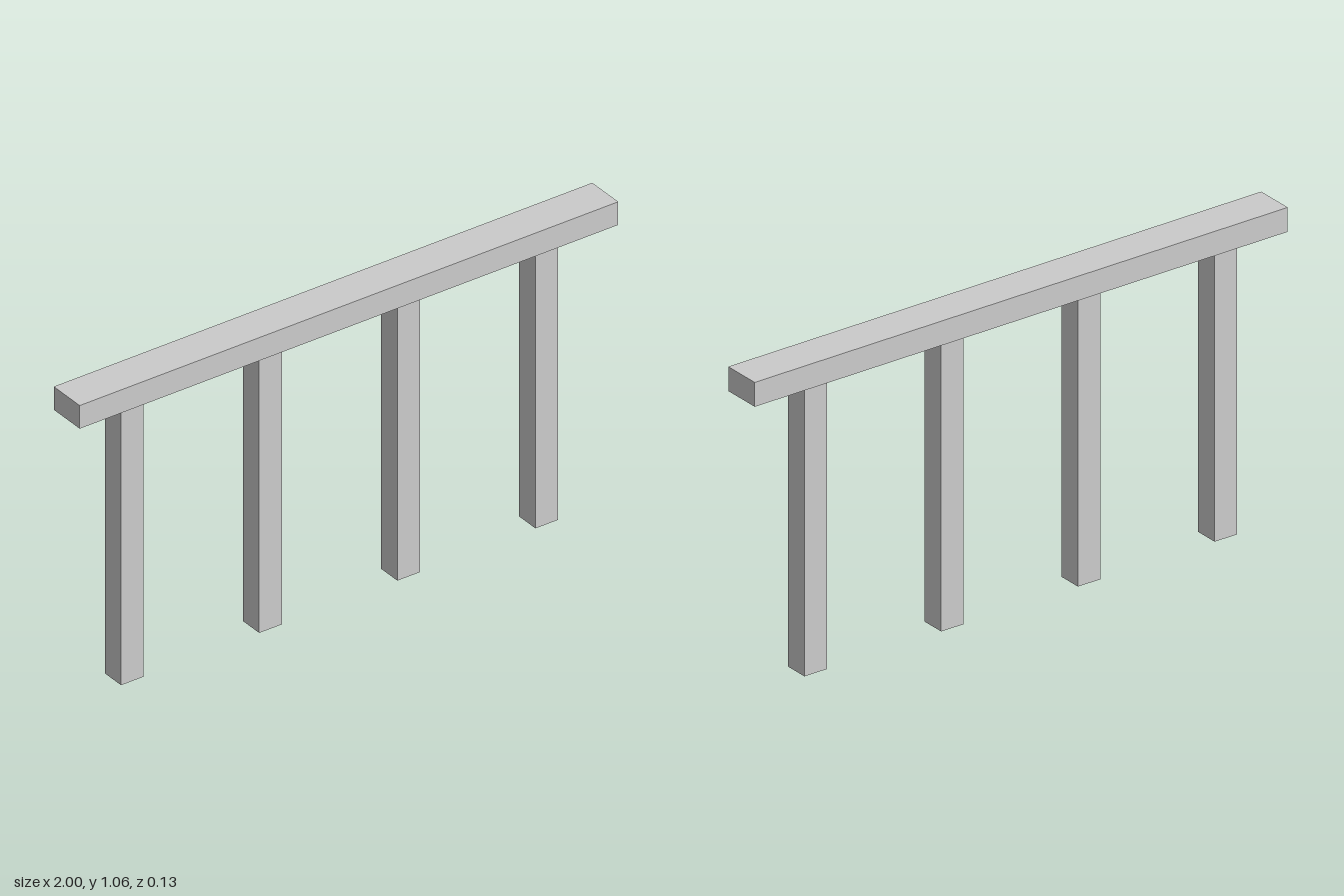
import * as THREE from 'three';

export function createModel() {
  const model = new THREE.Group();
  const material = new THREE.MeshStandardMaterial({ color: 0xcccccc, flatShading: true });

  const addBox = (name, size, position) => {
    const mesh = new THREE.Mesh(new THREE.BoxGeometry(...size), material);
    mesh.name = name;
    mesh.position.set(...position);
    model.add(mesh);
  };

  // Horizontal rail resting on the posts
  const postHeight = 0.98;
  const railHeight = 0.082;
  addBox('rail', [2, railHeight, 0.134], [0, postHeight + railHeight / 2, 0]);

  // Four evenly spaced square posts, set slightly off the rail's centre
  const postWidth = 0.084;
  for (let i = 0; i < 4; i++) {
    addBox(`post${i + 1}`, [postWidth, postHeight, postWidth], [-0.79 + i * 0.513, postHeight / 2, 0.005]);
  }

  return model;
}
